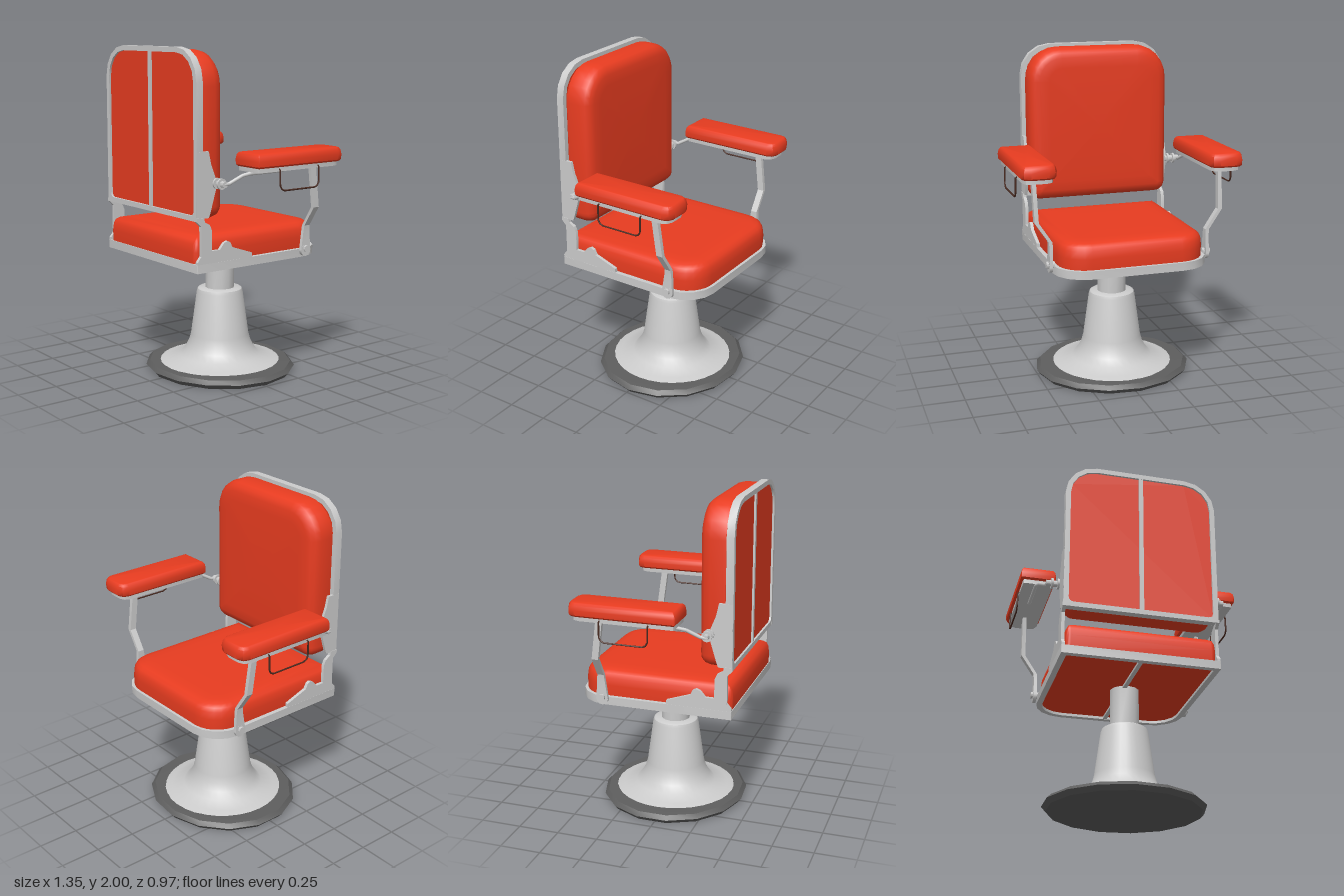
import * as THREE from 'three';
import { toCreasedNormals } from 'three/addons/utils/BufferGeometryUtils.js';

const metal = new THREE.MeshStandardMaterial({ color: 0xcccccc });
const leather = new THREE.MeshStandardMaterial({ color: 0xe83c20 });
const rubber = new THREE.MeshStandardMaterial({ color: 0x5e5e5e });
const wire = new THREE.MeshStandardMaterial({ color: 0x4a2a20 });

function add(parent, name, geo, mat, x = 0, y = 0, z = 0) {
  const mesh = new THREE.Mesh(geo, mat);
  mesh.name = name;
  mesh.position.set(x, y, z);
  parent.add(mesh);
  return mesh;
}

// Counter-clockwise rounded rectangle; radii: bottom-left, bottom-right, top-right, top-left
function outline(x0, x1, y0, y1, radii, inset = 0, seg = 5) {
  const corners = [[x0, y0, 1, 1], [x1, y0, -1, 1], [x1, y1, -1, -1], [x0, y1, 1, -1]];
  return corners.flatMap(([cx, cy, sx, sy], k) => {
    const r = Math.max(radii[k] - inset, 0.004);
    return Array.from({ length: seg + 1 }, (_, i) => {
      const a = Math.PI + (k + i / seg) * Math.PI / 2;
      return new THREE.Vector2(
        cx + sx * (inset + r) + r * Math.cos(a),
        cy + sy * (inset + r) + r * Math.sin(a));
    });
  });
}

// Closed skin through equal-length rings of [x, y, z]
function loft(rings, crease = 0.7) {
  const n = rings[0].length, pos = rings.flat(2), idx = [];
  for (let r = 0; r < rings.length - 1; r++) {
    for (let i = 0; i < n; i++) {
      const a = r * n + i, b = r * n + (i + 1) % n;
      idx.push(a, b, b + n, a, b + n, a + n);
    }
  }
  [rings[0], rings[rings.length - 1]].forEach((ring, end) => {
    const c = pos.length / 3, base = end ? (rings.length - 1) * n : 0;
    for (let k = 0; k < 3; k++) pos.push(ring.reduce((s, p) => s + p[k], 0) / n);
    for (let i = 0; i < n; i++) {
      const a = base + i, b = base + (i + 1) % n;
      idx.push(c, end ? a : b, end ? b : a);
    }
  });
  const g = new THREE.BufferGeometry();
  g.setAttribute('position', new THREE.Float32BufferAttribute(pos, 3));
  g.setIndex(idx);
  return toCreasedNormals(g, crease);
}

// Cushion: the outline stacked along z with [inset, height] levels
function pillow(box, radii, levels, seg) {
  return loft(levels.map(([inset, h]) =>
    outline(...box, radii, inset, seg).map(p => [p.x, p.y, h])));
}

// Flat bar through [x, y, z, halfX, halfZ] sections, listed from bottom to top
function bar(sections) {
  return loft(sections.map(([x, y, z, h, w]) =>
    [[x + h, y, z + w], [x + h, y, z - w], [x - h, y, z - w], [x - h, y, z + w]]), 0.3);
}

function plate(points, depth, holes = []) {
  const shape = new THREE.Shape(points);
  shape.holes = holes.map(h => new THREE.Path(h));
  return toCreasedNormals(new THREE.ExtrudeGeometry(shape, { depth, bevelEnabled: false }), 0.5);
}

function rod(points, radius, sides = 8) {
  const path = new THREE.CurvePath();
  const v = points.map(p => new THREE.Vector3(...p));
  for (let i = 1; i < v.length; i++) path.add(new THREE.LineCurve3(v[i - 1], v[i]));
  return new THREE.TubeGeometry(path, 48, radius, sides, false);
}

const bolt = (r, len) => toCreasedNormals(new THREE.CylinderGeometry(r, r, len, 12).rotateZ(Math.PI / 2), 0.7);
const lathe = (pts, n, crease) => toCreasedNormals(
  new THREE.LatheGeometry(pts.map(p => new THREE.Vector2(...p)), n, Math.PI / 2), crease);

function createBase() {
  const g = new THREE.Group();
  g.name = 'pedestal';
  g.position.set(0.02, 0, -0.015);
  const foot = add(g, 'footRing', lathe([[0, 0], [0.46, 0], [0.485, 0.028], [0.46, 0.052], [0.39, 0.056], [0, 0.056]], 15, 0.4), rubber);
  foot.scale.z = 0.93;
  add(g, 'flaredColumn', lathe([[0.39, 0.05], [0.33, 0.068], [0.25, 0.09], [0.215, 0.13], [0.192, 0.175],
    [0.18, 0.22], [0.143, 0.49], [0.137, 0.508], [0.125, 0.515], [0, 0.515]], 32, 0.6), metal);
  add(g, 'liftPost', bolt(0.09, 0.27).rotateZ(Math.PI / 2), metal, 0, 0.635, 0);
  return g;
}

function createSeat() {
  const g = new THREE.Group();
  g.name = 'seat';
  g.rotation.x = -Math.PI / 2; // local y points to the sitter's front, local z is up
  const box = [-0.47, 0.47, -0.482, 0.482], radii = [0.004, 0.004, 0.19, 0.19];
  add(g, 'seatFrame', plate(outline(...box, radii, 0, 4), 0.05, [outline(...box, radii, 0.035, 4)]), metal, 0, 0, 0.745);
  add(g, 'seatFrameBar', new THREE.BoxGeometry(0.025, 0.92, 0.02), metal, 0, 0, 0.757);
  add(g, 'seatBottomPanel', plate(outline(...box, radii, 0.03, 4), 0.02), leather, 0, 0, 0.762);
  add(g, 'seatCushion', pillow([-0.446, 0.446, -0.48, 0.467], [0.03, 0.03, 0.17, 0.17],
    [[0.003, 0.785], [0, 0.86], [0.006, 0.905], [0.018, 0.928], [0.04, 0.943], [0.08, 0.951], [0.14, 0.953]], 6), leather);
  return g;
}

function createBack() {
  const g = new THREE.Group();
  g.name = 'backrest';
  const box = [-0.465, 0.465, 1.04, 2.0], radii = [0.01, 0.01, 0.19, 0.19];
  add(g, 'backFrame', plate(outline(...box, radii, 0, 4), 0.045, [outline(...box, [0.06, 0.06, 0.19, 0.19], 0.03, 4)]), metal, 0, 0, 0.439);
  add(g, 'backPanel', plate(outline(...box, radii, 0.025, 4), 0.03), leather, 0, 0, 0.441);
  add(g, 'backFrameBar', new THREE.BoxGeometry(0.026, 0.92, 0.015), metal, 0, 1.52, 0.475);
  const cushion = pillow([-0.446, 0.446, 1.04, 1.985], [0.07, 0.07, 0.2, 0.2],
    [[0.02, 0], [0.004, 0.01], [0, 0.03], [0, 0.1], [0.01, 0.135], [0.03, 0.156], [0.06, 0.166], [0.12, 0.17]], 6);
  add(g, 'backCushion', cushion.rotateY(Math.PI), leather, 0, 0, 0.441);
  return g;
}

// One armrest with its hardware; s = 1 for the +x side, -1 for the -x side
function createSide(s) {
  const g = new THREE.Group();
  g.name = s > 0 ? 'leftArm' : 'rightArm';
  const pts = list => list.map(([x, y, z]) => [s * x, y, z]);
  const sidePlate = (list, t) => plate(list.map(p => new THREE.Vector2(...p)), t)
    .translate(0, 0, -t / 2).rotateY(-Math.PI / 2);

  // Pad and its metal tray
  const pad = new THREE.Group();
  pad.name = 'armrest';
  pad.rotation.x = -Math.PI / 2;
  pad.position.x = s * 0.567;
  g.add(pad);
  add(pad, 'armPad', pillow([-0.107, 0.107, -0.214, 0.44], [0.012, 0.012, 0.055, 0.055],
    [[0.012, 1.335], [0.002, 1.345], [0, 1.375], [0.006, 1.4], [0.016, 1.414], [0.024, 1.417]], 2), leather);
  add(pad, 'armTray', plate(outline(-0.09, 0.09, -0.2, 0.415, [0.01, 0.01, 0.05, 0.05], 0, 2), 0.03), metal, 0, 0, 1.31);

  // Brackets joining the seat frame to the back
  add(g, 'backBracket', sidePlate([[0.482, 1.43], [0.40, 1.43], [0.385, 1.36], [0.345, 1.26], [0.345, 1.23],
    [0.39, 1.08], [0.40, 1.055], [0.482, 1.055]], 0.018), metal, s * 0.457);
  add(g, 'seatBracket', sidePlate([[0.48, 0.785], [0.48, 0.81], [0.455, 0.84], [0.455, 1.01], [0.485, 1.04], [0.485, 1.06],
    [0.435, 1.06], [0.43, 1.035], [0.395, 1.015], [0.38, 0.98], [0.38, 0.865], [0.325, 0.865], [0.295, 0.9],
    [0.27, 0.91], [0.25, 0.9], [0.235, 0.87], [0.09, 0.82], [0.09, 0.785]], 0.02), metal, s * 0.459);

  // Front support strut
  add(g, 'frontSupport', bar([[s * 0.486, 0.79, -0.3, 0.01, 0.036], [s * 0.484, 0.9, -0.305, 0.01, 0.024],
    [s * 0.486, 0.94, -0.306, 0.011, 0.02], [s * 0.566, 1.06, -0.305, 0.012, 0.02], [s * 0.572, 1.315, -0.272, 0.012, 0.02]]), metal);
  add(g, 'frontSupportFoot', bolt(0.037, 0.02), metal, s * 0.486, 0.79, -0.3);
  add(g, 'frontBolt', bolt(0.02, 0.05), metal, s * 0.485, 0.8, -0.3);

  // Rear support rod and pivot
  add(g, 'rearSupport', rod(pts([[0.58, 1.302, -0.04], [0.58, 1.302, 0.2], [0.565, 1.292, 0.24],
    [0.54, 1.25, 0.315], [0.535, 1.245, 0.355]]), 0.011), metal);
  add(g, 'rearPivot', bolt(0.018, 0.09), metal, s * 0.5, 1.247, 0.345);
  for (const x of [0.473, 0.51]) add(g, 'rearPivotCollar', bolt(0.032, 0.012), metal, s * x, 1.247, 0.345);

  // Wire loop hanging beside the tray
  add(g, 'wireLoop', rod(pts([[0.645, 1.325, 0.05], [0.665, 1.32, 0.05], [0.667, 1.23, 0.05], [0.667, 1.21, 0.04],
    [0.667, 1.2, 0.02], [0.667, 1.2, -0.21], [0.667, 1.21, -0.23], [0.667, 1.23, -0.24],
    [0.665, 1.32, -0.24], [0.645, 1.325, -0.24]]), 0.005, 6), wire);
  return g;
}

export function createModel() {
  const model = new THREE.Group();
  model.name = 'barberChair';
  model.add(createBase(), createSeat(), createBack(), createSide(1), createSide(-1));
  return model;
}
